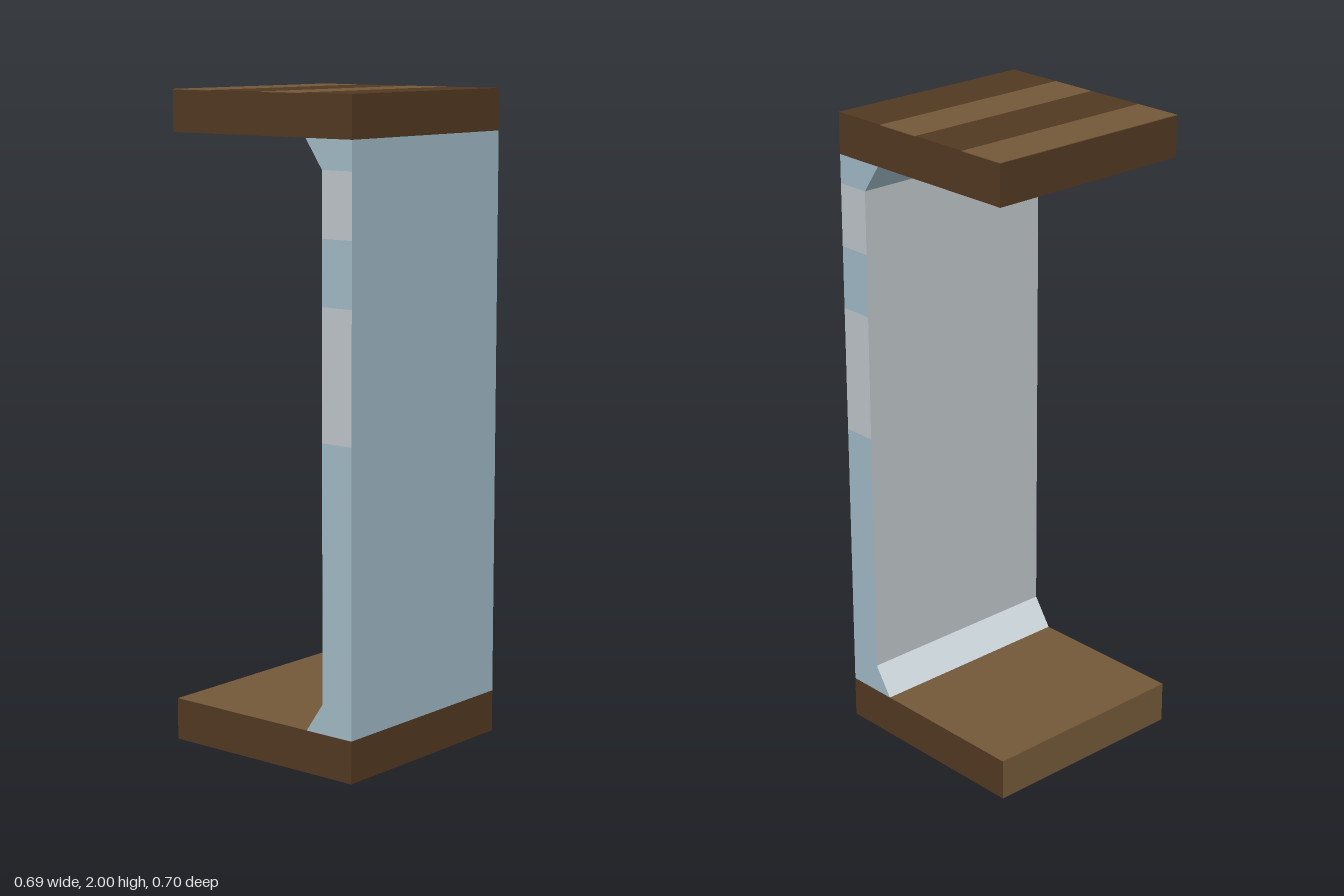
import * as THREE from 'three';

const mat = (name, color) => {
  const m = new THREE.MeshStandardMaterial({ color });
  m.name = name;
  return m;
};

export function createModel() {
  const darkWood = mat('dark wood', 0x523922);
  const lightWood = mat('light wood', 0x745839);
  const blue = mat('pale blue', 0xa0b9c5);
  const grey = mat('pale grey', 0xbdc4c8);
  const pale = mat('frosted white', 0xd0d9de);

  const model = new THREE.Group();
  model.name = 'cabinetFrame';
  const half = 0.347, front = 0.348;

  // Box between two heights and two depths; materials: +x, -x, top, bottom, front, back
  const slab = (name, y0, y1, z0, z1, materials) => {
    const geo = new THREE.BoxGeometry(half * 2, y1 - y0, z1 - z0);
    const mesh = new THREE.Mesh(geo, materials);
    mesh.name = name;
    mesh.position.set(0, (y0 + y1) / 2, (z0 + z1) / 2);
    model.add(mesh);
  };

  // Floor and ceiling boards
  slab('floorBoard', 0, 0.13, -0.348, front,
    [darkWood, darkWood, lightWood, darkWood, darkWood, lightWood]);
  slab('ceilingBoard', 1.873, 1.998, -0.34, front,
    [darkWood, darkWood, darkWood, blue, darkWood, darkWood]);

  // Alternating planks on the roof
  [[-0.34, -0.185, lightWood], [-0.185, 0.01, darkWood],
    [0.01, 0.163, lightWood], [0.163, front, darkWood]].forEach(([z0, z1, m], i) =>
    slab('roofPlank' + (i + 1), 1.998, 2, z0, z1, m));

  // Wall cross-section rows: height, depth of inner face, side and inner colour of the band above
  const rows = [
    [0.13, 0.177, blue, pale],
    [0.22, 0.238, blue, grey],
    [1.0, 0.238, grey, grey],
    [1.395, 0.238, blue, grey],
    [1.59, 0.238, grey, grey],
    [1.785, 0.238, blue, blue],
    [1.873, 0.177],
  ];
  const palette = [blue, grey, pale];
  const geo = new THREE.BufferGeometry();
  const pos = [];
  const quad = (a, b, c, d, m) => {
    geo.addGroup(pos.length / 3, 6, palette.indexOf(m));
    pos.push(...a, ...b, ...c, ...a, ...c, ...d);
  };
  for (let i = 0; i < rows.length - 1; i++) {
    const [y0, z0, side, inner] = rows[i];
    const [y1, z1] = rows[i + 1];
    quad([-half, y0, front], [half, y0, front], [half, y1, front], [-half, y1, front], blue);
    quad([half, y0, z0], [-half, y0, z0], [-half, y1, z1], [half, y1, z1], inner);
    quad([half, y0, front], [half, y0, z0], [half, y1, z1], [half, y1, front], side);
    quad([-half, y0, z0], [-half, y0, front], [-half, y1, front], [-half, y1, z1], side);
  }
  geo.setAttribute('position', new THREE.Float32BufferAttribute(pos, 3));
  geo.computeVertexNormals();
  const wall = new THREE.Mesh(geo, palette);
  wall.name = 'wallPanel';
  model.add(wall);

  return model;
}
